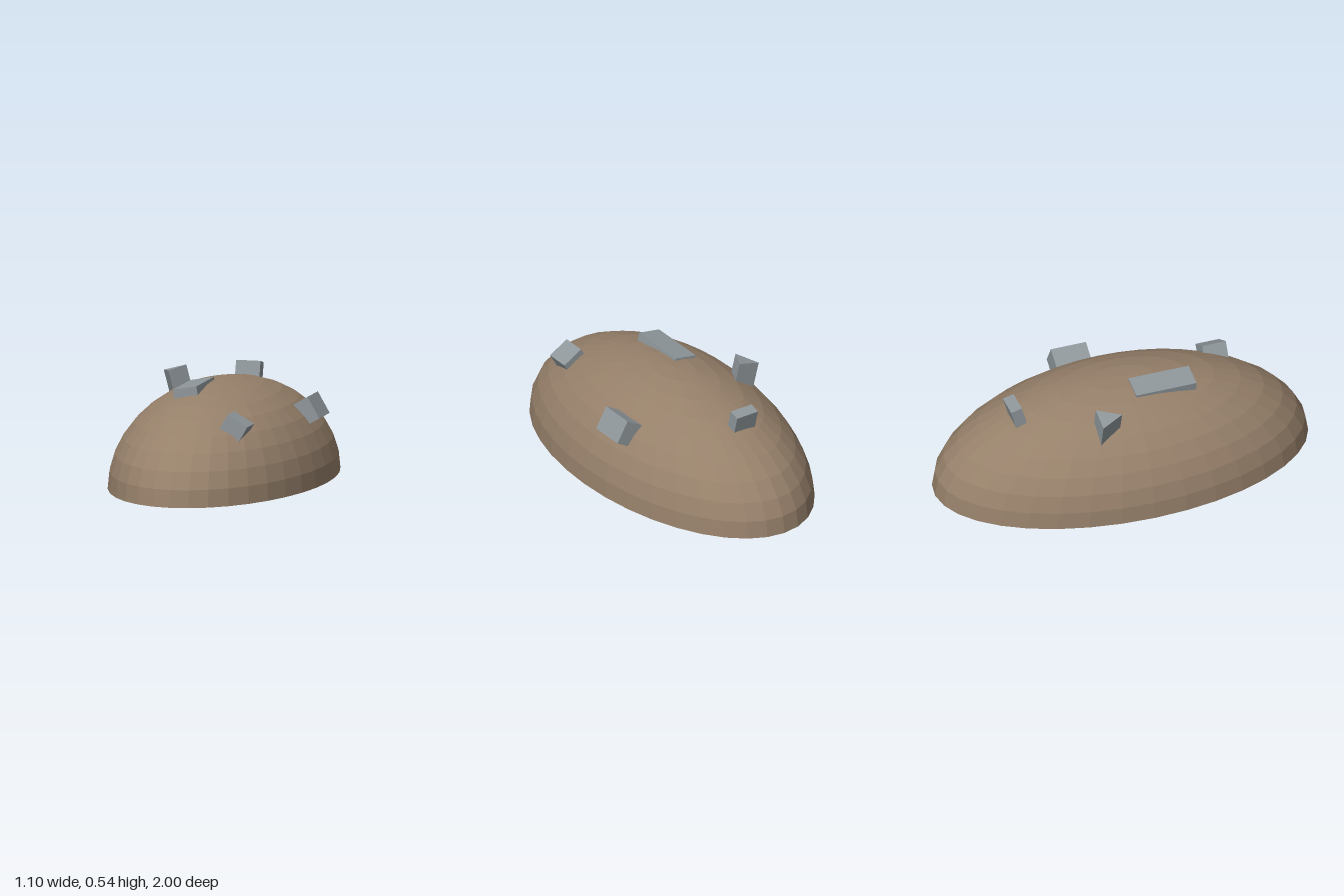
import * as THREE from 'three';

const shellMat = new THREE.MeshStandardMaterial({ color: 0x96806a, flatShading: true });
const stoneMat = new THREE.MeshStandardMaterial({ color: 0x8f979b, flatShading: true });
const deg = THREE.MathUtils.degToRad;

export function createModel() {
  const group = new THREE.Group();

  function add(name, geometry, material) {
    const mesh = new THREE.Mesh(geometry, material);
    mesh.name = name;
    group.add(mesh);
    return mesh;
  }

  // Half-ellipsoid mound with a flat underside
  const dome = new THREE.SphereGeometry(1, 36, 9, 0, Math.PI * 2, 0, Math.PI / 2);
  dome.scale(0.548, 0.517, 1);
  add('dome', dome, shellMat);

  const base = new THREE.CircleGeometry(1, 36);
  base.rotateX(Math.PI / 2);
  base.scale(0.548, 1, 1);
  add('base', base, shellMat);

  // Stones sunk into the mound, placed by the centre of their outer face
  function stone(name, geometry, depth, top, tiltX, tiltZ) {
    geometry.translate(0, -depth / 2, 0);
    const mesh = add(name, geometry, stoneMat);
    mesh.position.set(...top);
    mesh.rotation.set(deg(tiltX), 0, deg(tiltZ));
  }

  const blocks = [
    // name, size, outer face centre, tilt x, tilt z
    ['leftBlock', [0.126, 0.13, 0.19], [0.466, 0.38, -0.128], 0, -60],
    ['frontBlock', [0.121, 0.13, 0.128], [0.257, 0.405, 0.58], 0, -30],
    ['longSlab', [0.127, 0.1, 0.325], [-0.107, 0.516, 0.193], 0, 10],
    ['backBlock', [0.13, 0.13, 0.06], [-0.034, 0.513, -0.594], -15, 0],
  ];
  for (const [name, size, top, tx, tz] of blocks) {
    stone(name, new THREE.BoxGeometry(...size), size[1], top, tx, tz);
  }

  // Three-sided stone with its point toward the front
  const prism = new THREE.CylinderGeometry(1, 1, 0.15, 3);
  prism.scale(0.0716, 1, 0.081);
  stone('triangularBlock', prism, 0.15, [-0.325, 0.526, -0.183], 0, 15);

  return group;
}
